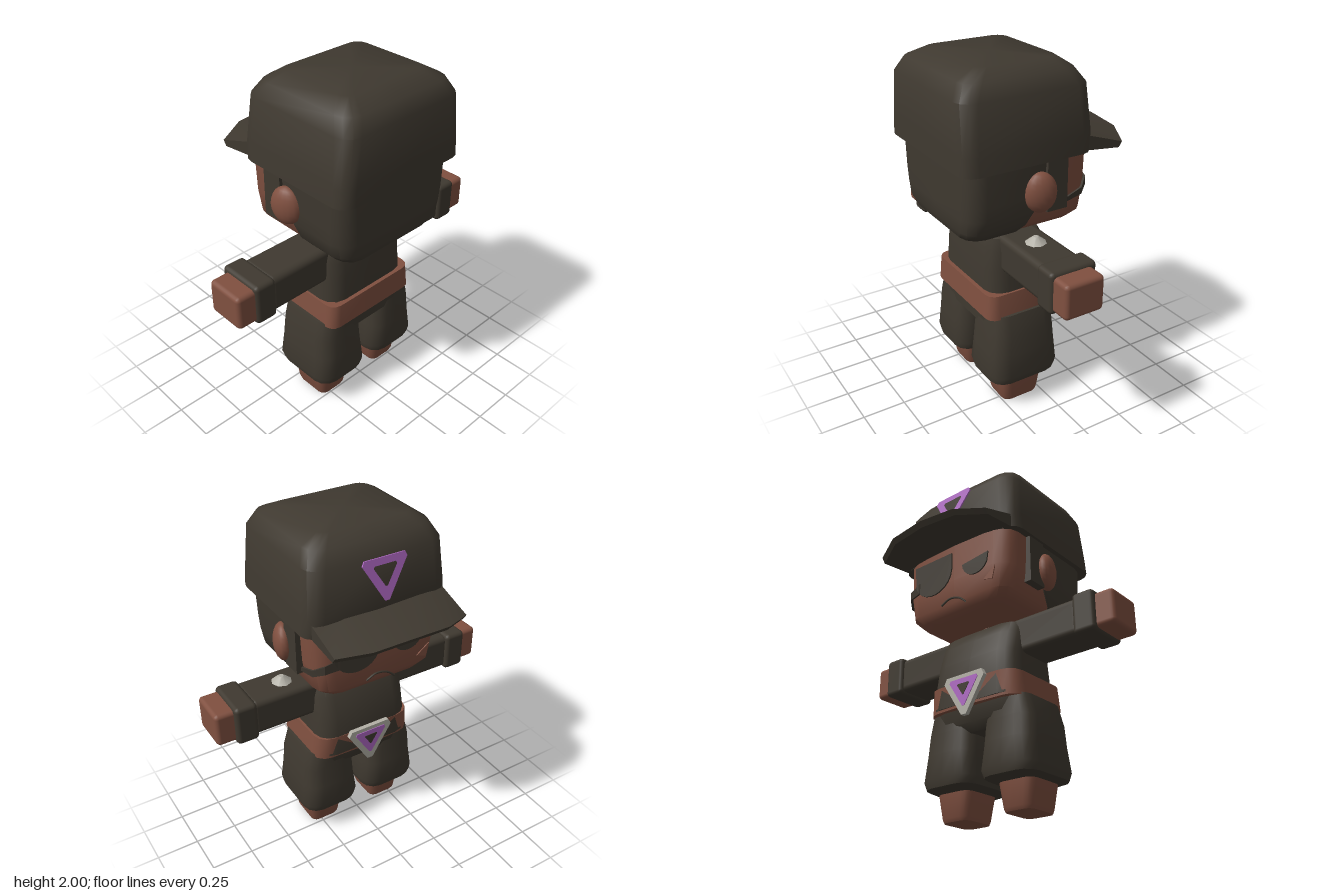
import * as THREE from 'three';
import { toCreasedNormals } from 'three/addons/utils/BufferGeometryUtils.js';
import { RoundedBoxGeometry } from 'three/addons/geometries/RoundedBoxGeometry.js';

const mat = (name, color) => new THREE.MeshStandardMaterial({ name, color });

// Stack of rounded rectangles. Each ring: [y, halfWidth, zBack, zFace, rBack, rFace, bulge]
function loft(rings, cx = 0) {
  const n = 3, pos = [], idx = [];
  let count = 0;
  for (const [y, hx, zb, zf, rb, rf = rb, bulge = 0] of rings) {
    const pts = [];
    for (let c = 0; c < 4; c++) {
      const sx = c === 0 || c === 3 ? 1 : -1, r = c < 2 ? rb : rf;
      const ox = sx * (hx - r), oz = c < 2 ? zb - r : zf + r;
      for (let k = 0; k <= n; k++) {
        const a = (c + k / n) * Math.PI / 2;
        pts.push([ox + r * Math.cos(a), oz + r * Math.sin(a)]);
      }
      if (c === 0) pts.push([0, zb]);
      if (c === 2) pts.push([0, zf - bulge]);
    }
    count = pts.length;
    for (const [x, z] of pts) pos.push(cx + x, y, z);
  }
  const last = rings.length - 1;
  for (let i = 0; i < last; i++) for (let j = 0; j < count; j++) {
    const a = i * count + j, b = i * count + (j + 1) % count;
    idx.push(a, a + count, b, b, a + count, b + count);
  }
  // end caps
  for (const i of [0, last]) {
    const centre = pos.length / 3, r = rings[i];
    pos.push(cx, r[0], (r[2] + r[3]) / 2);
    for (let j = 0; j < count; j++) {
      const a = i * count + j, b = i * count + (j + 1) % count;
      idx.push(centre, ...(i === 0 ? [a, b] : [b, a]));
    }
  }
  return finish(pos, idx);
}

function finish(pos, idx) {
  const g = new THREE.BufferGeometry();
  g.setAttribute('position', new THREE.Float32BufferAttribute(pos, 3));
  g.setIndex(idx);
  return toCreasedNormals(g, 0.75);
}

// Strip of quads joining consecutive closed cross-sections
function strip(sections) {
  const m = sections[0].length, idx = [];
  for (let i = 0; i < sections.length - 1; i++) for (let j = 0; j < m; j++) {
    const a = i * m + j, b = i * m + (j + 1) % m;
    idx.push(a, a + m, b, b, a + m, b + m);
  }
  const e = (sections.length - 1) * m;
  for (let j = 1; j < m - 1; j++) idx.push(0, j, j + 1, e, e + j + 1, e + j);
  return finish(sections.flat(2), idx);
}

// Downward triangle with clipped corners, centred near its centroid
function triangle(w, h, t) {
  return [[-w + t, h / 3], [w - t, h / 3], [w - t * 0.5, h / 3 - t], [t * 0.5, -2 * h / 3], [-t * 0.5, -2 * h / 3], [-w + t * 0.5, h / 3 - t]]
    .map(p => new THREE.Vector2(...p));
}

function plate(points, depth, hole) {
  const s = new THREE.Shape(points);
  if (hole) s.holes.push(new THREE.Path(hole));
  return new THREE.ExtrudeGeometry(s, { depth, bevelEnabled: false, curveSegments: 10 });
}

export function createModel() {
  const model = new THREE.Group();
  const dark = mat('dark cloth', 0x3f3930);
  const skin = mat('brown skin', 0x805040);
  const purple = mat('purple', 0xae68c2);
  const grey = mat('pale metal', 0xb3b0a6);
  const darkTwo = mat('dark strap', 0x3b352d);
  darkTwo.side = THREE.DoubleSide;
  const add = (name, geo, m, x = 0, y = 0, z = 0) => {
    const mesh = new THREE.Mesh(geo, m);
    mesh.name = name;
    mesh.position.set(x, y, z);
    model.add(mesh);
    return mesh;
  };
  const box = (w, h, d, r) => new RoundedBoxGeometry(w, h, d, 2, r);

  // head and hair
  add('head', loft([
    [1.1, 0.24, 0.4, -0.16, 0.08], [1.115, 0.32, 0.46, -0.21, 0.1], [1.16, 0.365, 0.48, -0.238, 0.1],
    [1.3, 0.385, 0.485, -0.245, 0.1], [1.54, 0.395, 0.485, -0.245, 0.1],
  ]), skin);
  add('hair', loft([
    [1.095, 0.25, 0.42, 0.19, 0.08, 0.01], [1.11, 0.33, 0.47, 0.18, 0.1, 0.01], [1.16, 0.375, 0.49, 0.15, 0.1, 0.01],
    [1.24, 0.39, 0.493, 0.1, 0.1, 0.01], [1.32, 0.397, 0.495, 0.06, 0.1, 0.01], [1.54, 0.407, 0.495, 0.04, 0.1, 0.01],
  ]), dark);
  add('neck', new THREE.CylinderGeometry(0.08, 0.09, 0.1, 16), skin, 0, 1.09, 0.12);

  // cap with brim
  add('cap', loft([
    [1.51, 0.435, 0.537, -0.235, 0.08, 0.08], [1.61, 0.428, 0.535, -0.25, 0.08, 0.09, 0.025],
    [1.87, 0.405, 0.53, -0.225, 0.09, 0.09, 0.015], [1.95, 0.365, 0.485, -0.17, 0.09, 0.09, 0.01],
    [2.0, 0.28, 0.38, -0.1, 0.06, 0.06],
  ]), dark);
  const brim = [[0.4, -0.44, 1.515, 1.595], [0.23, -0.52, 1.54, 1.61], [0, -0.535, 1.552, 1.618]];
  const columns = [...brim, ...brim.slice(0, 2).reverse().map(([x, ...r]) => [-x, ...r])];
  add('brim', strip(columns.map(([x, z, yTip, yIn]) => [
    [x, yIn, -0.2], [x, yTip, z], [x, yTip - 0.03, z + 0.02], [x, yIn - 0.085, -0.2],
  ])), dark).material.side = THREE.DoubleSide;
  const badge = add('cap badge', plate(triangle(0.145, 0.23, 0.025), 0.008, triangle(0.075, 0.115, 0.012)), purple, 0, 1.805, -0.272);
  badge.rotation.x = 0.15;

  // ears, sideburns, arms, legs on both sides
  for (const s of [1, -1]) {
    const ear = add('ear', new THREE.SphereGeometry(1, 16, 12), skin, s * 0.41, 1.345, 0.09);
    ear.scale.set(0.055, 0.112, 0.09);
    ear.rotation.y = -s * 0.35;
    add('sideburn', new THREE.BoxGeometry(0.06, 0.3, 0.125), dark, s * 0.39, 1.375, -0.012);

    add('sleeve', box(0.46, 0.215, 0.245, 0.035), dark, s * 0.43, 0.962, 0.122);
    add('cuff', box(0.132, 0.237, 0.28, 0.025), dark, s * 0.7, 0.962, 0.12);
    add('hand', box(0.15, 0.2, 0.235, 0.025), skin, s * 0.798, 0.96, 0.127);

    add('trouserLeg', loft([
      [0.155, 0.13, 0.29, -0.04, 0.08], [0.175, 0.17, 0.335, -0.08, 0.09], [0.22, 0.182, 0.343, -0.092, 0.09],
      [0.36, 0.165, 0.335, -0.085, 0.09], [0.48, 0.16, 0.325, -0.075, 0.09], [0.6, 0.13, 0.31, -0.07, 0.08],
    ], s * 0.207), dark);
    add('foot', loft([
      [0, 0.09, 0.24, 0.02, 0.04], [0.02, 0.098, 0.25, 0.008, 0.05], [0.18, 0.122, 0.265, -0.005, 0.05],
    ], s * 0.215), skin);
  }

  // body
  add('hips', loft([
    [0.455, 0.1, 0.27, -0.03, 0.05], [0.5, 0.3, 0.318, -0.07, 0.1], [0.6, 0.305, 0.32, -0.085, 0.1],
  ]), dark);
  add('torso', loft([
    [0.6, 0.3, 0.315, -0.115, 0.1], [0.73, 0.297, 0.312, -0.115, 0.1], [0.86, 0.29, 0.305, -0.1, 0.1],
    [0.98, 0.288, 0.298, -0.065, 0.1], [1.05, 0.275, 0.285, -0.03, 0.09], [1.08, 0.2, 0.25, 0.01, 0.07],
  ]), dark);
  add('belt', loft([
    [0.585, 0.322, 0.342, -0.105, 0.06, 0.09, 0.01], [0.73, 0.31, 0.335, -0.115, 0.06, 0.09, 0.01],
  ]), skin);

  // belt buckle
  add('buckle', plate(triangle(0.16, 0.235, 0.035), 0.026, null), grey, 0, 0.675, -0.152);
  add('buckle inlay', plate(triangle(0.108, 0.16, 0.015), 0.005, null), purple, 0, 0.675, -0.156);
  add('buckle centre', plate(triangle(0.045, 0.066, 0.006), 0.004, null), dark, 0, 0.675, -0.159);

  // shoulder stud
  add('shoulder stud', new THREE.CylinderGeometry(0.015, 0.065, 0.04, 8), grey, 0.42, 1.085, 0.12);

  // face: eye patch, narrowed eye, mouth, cheek crease
  const v = (x, y) => new THREE.Vector2(x, y);
  const patch = new THREE.Shape([v(0.01, 1.48), v(0.01, 1.38)]);
  patch.bezierCurveTo(0.02, 1.22, 0.24, 1.21, 0.29, 1.34);
  patch.lineTo(0.3, 1.48);
  add('eye patch', plate(patch.getPoints(10), 0.008, null), dark, 0, 0, -0.256);
  const eye = new THREE.Shape([v(-0.26, 1.39), v(-0.07, 1.37)]);
  eye.bezierCurveTo(-0.08, 1.27, -0.21, 1.25, -0.25, 1.33);
  add('narrowed eye', plate(eye.getPoints(10), 0.008, null), dark, 0, 0, -0.255);
  const mouth = new THREE.CatmullRomCurve3([[0.09, 1.165], [0.03, 1.19], [-0.04, 1.175], [-0.09, 1.135]]
    .map(([x, y]) => new THREE.Vector3(x, y, -0.245)));
  add('mouth', new THREE.TubeGeometry(mouth, 12, 0.006, 6), dark);
  add('cheek crease', plate([v(-0.23, 1.22), v(-0.31, 1.28), v(-0.29, 1.2)], 0.006, null), skin, 0, 0, -0.256);

  // patch strap running back to the sideburn
  add('patch strap', strip([[0.26, 1.365, 1.3, -0.258], [0.345, 1.34, 1.29, -0.245], [0.388, 1.3, 1.262, -0.19], [0.394, 1.255, 1.235, -0.06]]
    .map(([x, top, low, z]) => [[x, top, z], [x, low, z], [x - 0.008, low, z + 0.008], [x - 0.008, top, z + 0.008]])), darkTwo);

  return model;
}
